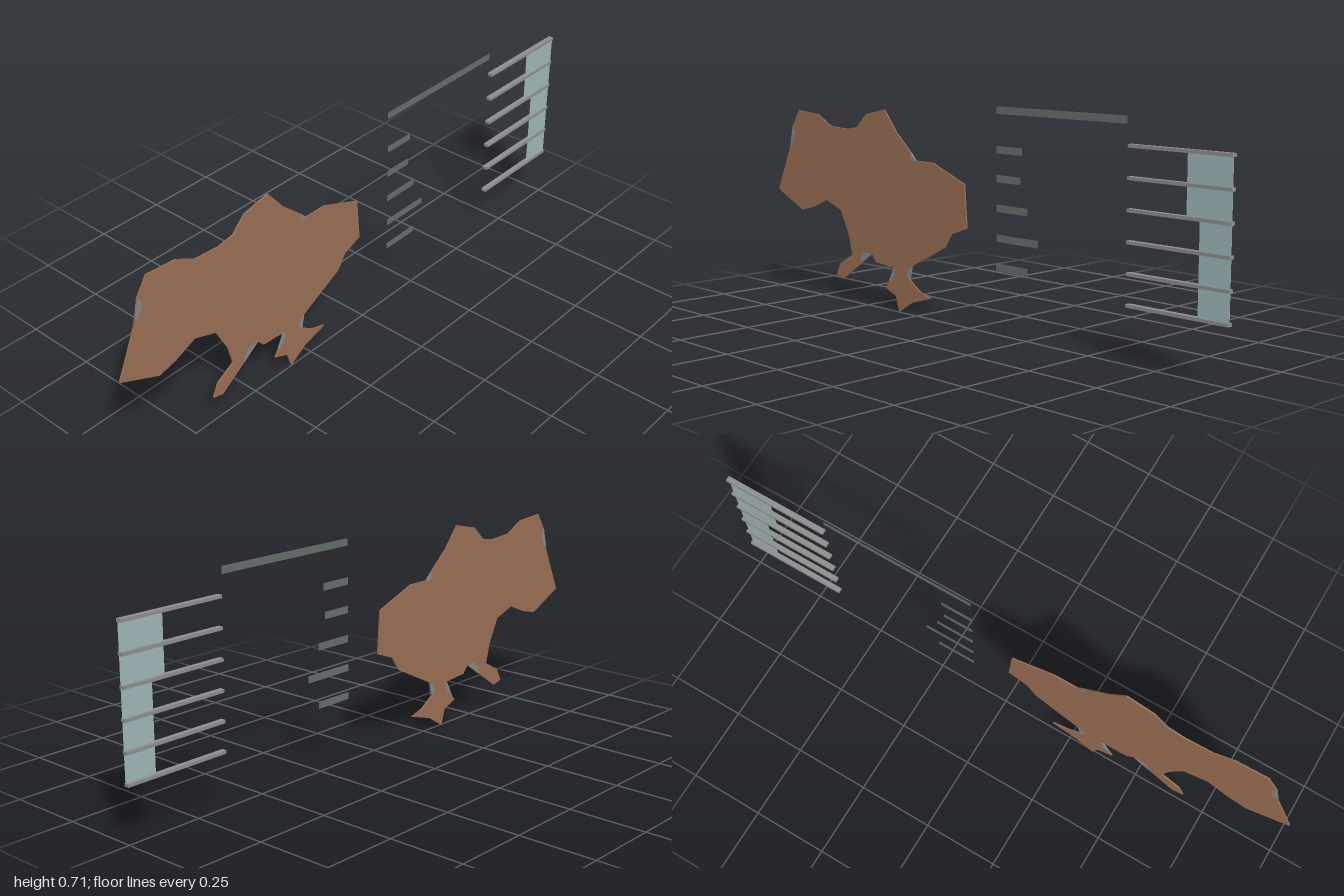
import * as THREE from 'three';

const mat = (name, color, side = THREE.FrontSide) => {
  const m = new THREE.MeshStandardMaterial({ color, side });
  m.name = name;
  return m;
};

export function createModel() {
  const brown = mat('brown', 0x9b6f54);
  const grey = mat('grey', 0x858a90);
  const slate = mat('slate', 0x66706c, THREE.DoubleSide);
  const rodGrey = mat('rodGrey', 0x8f8f8f);
  const paleTeal = mat('paleTeal', 0xa0b9bb);

  const model = new THREE.Group();
  const add = (name, geometry, material, x = 0, y = 0, z = 0, parent = model) => {
    const mesh = new THREE.Mesh(geometry, material);
    mesh.name = name;
    mesh.position.set(x, y, z);
    parent.add(mesh);
    return mesh;
  };
  const group = (name) => {
    const g = new THREE.Group();
    g.name = name;
    model.add(g);
    return g;
  };
  const slab = (shape, depth) =>
    new THREE.ExtrudeGeometry(shape, { depth, bevelEnabled: false, curveSegments: 6 });

  // Map plate: a thin slab cut to the land outline
  const outline = [
    [-1, 0.36], [-0.93, 0.515], [-0.91, 0.595], [-0.873, 0.652], [-0.766, 0.644],
    [-0.697, 0.608], [-0.606, 0.602], [-0.552, 0.612], [-0.504, 0.658], [-0.408, 0.679],
    [-0.349, 0.607], [-0.275, 0.543], [-0.253, 0.52], [-0.173, 0.52], [-0.024, 0.463],
    [-0.013, 0.323], [-0.082, 0.297], [-0.114, 0.249], [-0.275, 0.168], [-0.285, 0.12],
    [-0.237, 0.088], [-0.184, 0.072], [-0.275, 0.045], [-0.339, 0.004], [-0.355, 0.056],
    [-0.408, 0.078], [-0.381, 0.115], [-0.365, 0.152], [-0.456, 0.158], [-0.478, 0.184],
    [-0.531, 0.147], [-0.632, 0.078], [-0.67, 0.088], [-0.649, 0.131], [-0.584, 0.168],
    [-0.6, 0.233], [-0.643, 0.318], [-0.723, 0.345], [-0.798, 0.313], [-0.862, 0.297],
  ];
  const land = new THREE.Shape(outline.map(([x, y]) => new THREE.Vector2(x, y)));
  add('mapPlate', slab(land, 0.005), brown, 0, 0, -0.0055);

  // Grey rounded patches along the border: chord start, curve control, chord end
  const patches = group('borderPatches');
  [
    [-0.927, 0.525, -0.878, 0.56, -0.91, 0.595],
    [-0.275, 0.543, -0.29, 0.515, -0.253, 0.52],
    [-0.392, 0.1, -0.348, 0.12, -0.365, 0.152],
    [-0.275, 0.168, -0.318, 0.142, -0.285, 0.12],
    [-0.54, 0.141, -0.535, 0.2, -0.478, 0.184],
  ].forEach(([ax, ay, cx, cy, bx, by]) => {
    const s = new THREE.Shape();
    s.moveTo(ax, ay);
    s.quadraticCurveTo(cx, cy, bx, by);
    s.closePath();
    add('borderPatch', slab(s, 0.006), grey, 0, 0, -0.006, patches);
  });

  // Flat caption strips, all starting at the same left edge: end x, centre y
  const strips = group('captionStrips');
  const stripStart = 0.12;
  [
    [0.636, 0.704], [0.228, 0.583], [0.222, 0.494],
    [0.252, 0.402], [0.297, 0.309], [0.254, 0.218],
  ].forEach(([end, y]) => {
    const w = end - stripStart;
    add('captionStrip', new THREE.PlaneGeometry(w, 0.023), slate, stripStart + w / 2, y, 0, strips);
  });

  // Evenly spaced horizontal rods
  const rods = group('rods');
  const rodY = (i) => 0.177 + i * 0.091;
  for (let i = 0; i < 6; i++) {
    add('rod', new THREE.BoxGeometry(0.355, 0.01, 0.017), rodGrey, 0.8225, rodY(i), 0, rods);
  }

  // Pale panels between the rods: left, right, lower rod, upper rod
  const panels = group('panels');
  [
    [0.95, 1, 0, 5], [0.895, 0.95, 0, 3], [0.85, 0.95, 3, 5],
  ].forEach(([l, r, lo, hi]) => {
    const h = rodY(hi) - rodY(lo);
    add('panel', new THREE.BoxGeometry(r - l, h, 0.001), paleTeal,
      (l + r) / 2, rodY(lo) + h / 2, 0.0035, panels);
  });

  return model;
}
